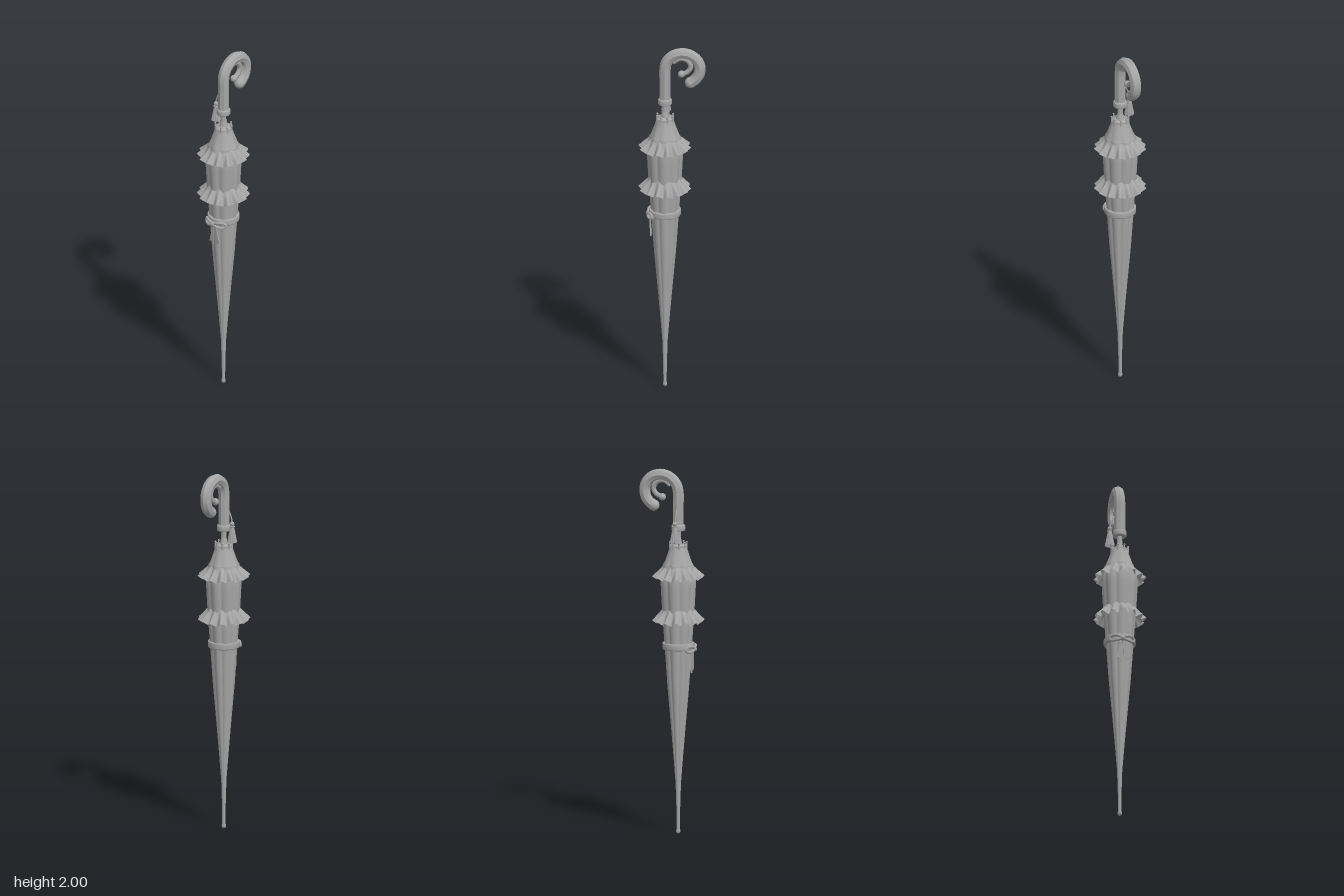
import * as THREE from 'three';

const AXIS_Z = 0.04; // the shaft stands slightly forward of the centre
const grey = new THREE.MeshStandardMaterial({ color: 0xa6a6a6, side: THREE.DoubleSide });
grey.name = 'grey';

export function createModel() {
  const group = new THREE.Group();
  group.name = 'closedParasol';
  const umbrella = new THREE.Group(); // everything centred on the shaft
  umbrella.name = 'shaftAssembly';
  umbrella.position.z = AXIS_Z;
  group.add(umbrella);

  const add = (name, geo, x = 0, y = 0, z = 0, parent = umbrella) => {
    const m = new THREE.Mesh(geo, grey);
    m.name = name;
    m.position.set(x, y, z);
    parent.add(m);
    return m;
  };
  const V = (x, y, z) => new THREE.Vector3(x, y, z);
  const flat = (geo) => {
    const g = geo.toNonIndexed();
    g.computeVertexNormals();
    return g;
  };
  const lathe = (pts, seg = 24) => new THREE.LatheGeometry(pts.map(p => new THREE.Vector2(p[0], p[1])), seg);

  // Closed cloth surface: fn(angle, t) gives [radius, y], t runs top to bottom
  const cloth = (seg, rows, fn) => {
    const pos = [], idx = [];
    for (let j = 0; j <= rows; j++) for (let i = 0; i < seg; i++) {
      const a = i / seg * Math.PI * 2, [r, y] = fn(a, j / rows);
      pos.push(Math.sin(a) * r, y, Math.cos(a) * r);
    }
    for (let j = 0; j < rows; j++) for (let i = 0; i < seg; i++) {
      const a = j * seg + i, b = j * seg + (i + 1) % seg, c = a + seg, d = b + seg;
      idx.push(a, c, b, b, c, d);
    }
    const g = new THREE.BufferGeometry();
    g.setAttribute('position', new THREE.Float32BufferAttribute(pos, 3));
    g.setIndex(idx);
    g.computeVertexNormals();
    return g;
  };
  // Linear lookup through [y, radius] stations
  const radiusAt = (stations, y) => {
    for (let i = 0; i < stations.length - 1; i++) {
      const [y0, r0] = stations[i], [y1, r1] = stations[i + 1];
      if (y <= y0 && y >= y1) return r0 + (r1 - r0) * (y0 - y) / (y0 - y1);
    }
    return stations[stations.length - 1][1];
  };

  // Furled cloth body with eight soft pleats
  const body = [[1.48, 0.085], [1.4, 0.1], [1.25, 0.092], [1.15, 0.085], [1.04, 0.077],
    [0.8, 0.06], [0.6, 0.042], [0.4, 0.025], [0.26, 0.014]];
  add('furledCanopy', cloth(96, 40, (a, t) => {
    const y = 1.48 - t * 1.22;
    return [radiusAt(body, y) * (0.94 + 0.1 * (Math.abs(Math.cos(a * 4)) - 0.4)), y];
  }));

  // Upper cape with a scalloped hem
  const cape = [[1.59, 0.042], [1.55, 0.053], [1.5, 0.069], [1.46, 0.084], [1.39, 0.112]];
  add('upperCape', cloth(96, 14, (a, t) => {
    const w = Math.cos(a * 8);
    const y = 1.585 - t * (0.14 + 0.02 * w);
    return [radiusAt(cape, y) * (1 + 0.05 * w * t) + 0.004 * t, y];
  }));

  // Two fluted ruffles
  const ruffle = (name, top, bottom, r0, r1) => add(name, cloth(168, 8, (a, t) => {
    const w = Math.cos(a * 14 + 0.35), slow = Math.sin(a * 5 + 1);
    const r = r0 + (r1 - r0) * Math.pow(t, 1.15) + t * (0.012 * w + 0.002 * slow);
    return [r, top + (bottom - top) * t + t * (0.009 * w + 0.003 * slow)];
  }));
  ruffle('upperRuffle', 1.475, 1.408, 0.08, 0.132);
  ruffle('lowerRuffle', 1.24, 1.166, 0.084, 0.132);

  // Ferrule and tip
  add('ferrule', lathe([[0, 0], [0.009, 0.001], [0.012, 0.008], [0.012, 0.018], [0.009, 0.022],
    [0.01, 0.12], [0.015, 0.28]], 16));

  // Shaft and rib crown
  add('shaft', new THREE.CylinderGeometry(0.013, 0.017, 0.14, 16), 0, 1.62, 0);
  add('shaftCone', new THREE.CylinderGeometry(0.014, 0.026, 0.06, 16), 0, 1.6, 0);
  add('crownRing', lathe([[0.015, 1.57], [0.046, 1.57], [0.046, 1.588], [0.015, 1.592]]));
  for (let i = 0; i < 8; i++) {
    const a = (i + 0.5) * Math.PI / 4, x = Math.sin(a) * 0.046, z = Math.cos(a) * 0.046;
    add('ribPeg', new THREE.CylinderGeometry(0.005, 0.005, 0.034, 8), x, 1.583, z);
    add('ribPegTip', new THREE.SphereGeometry(0.006, 8, 6), x, 1.601, z);
  }

  // Handle: faceted crook, collar and end knob
  add('handleCollar', lathe([[0.014, 1.665], [0.034, 1.665], [0.038, 1.67], [0.038, 1.692],
    [0.034, 1.698], [0.028, 1.7]]));
  const path = [V(0, 1.67, 0), V(0, 1.74, 0), V(0, 1.81, 0)];
  for (let i = 0; i <= 12; i++) {
    const a = i / 12 * 4.2, r = 0.097 - 0.012 * Math.max(0, (a - 2.6) / 1.6);
    path.push(V(0, 1.872 + Math.sin(a) * r, -0.097 + Math.cos(a) * r));
  }
  const end = path[path.length - 1];
  add('crookHandle', flat(new THREE.TubeGeometry(new THREE.CatmullRomCurve3(path), 60, 0.031, 8)));
  add('handleKnob', new THREE.SphereGeometry(0.031, 16, 12), end.x, end.y, end.z);

  // Small tendril curling inside the crook
  const curl = [V(0, 1.915, -0.045), V(0, 1.938, -0.085), V(0, 1.925, -0.125), V(0, 1.89, -0.14),
    V(0, 1.86, -0.122), V(0, 1.846, -0.092)];
  add('innerTendril', new THREE.TubeGeometry(new THREE.CatmullRomCurve3(curl), 30, 0.014, 8));
  add('tendrilKnob', new THREE.SphereGeometry(0.02, 12, 10), 0, 1.846, -0.09);

  // Tassel on a cord beside the handle
  const cord = [V(-0.026, 1.785, 0), V(-0.036, 1.77, 0), V(-0.047, 1.745, 0), V(-0.053, 1.715, 0)];
  add('tasselCord', new THREE.TubeGeometry(new THREE.CatmullRomCurve3(cord), 12, 0.004, 6));
  add('tasselHead', new THREE.SphereGeometry(0.013, 12, 8), -0.054, 1.71, -0.003);
  add('tasselBand', new THREE.TorusGeometry(0.012, 0.004, 6, 14), -0.054, 1.695, -0.003).rotation.x = Math.PI / 2;
  add('tasselSkirt', cloth(44, 5, (a, t) => [0.01 + 0.014 * t + 0.004 * t * Math.cos(a * 11), 1.698 - 0.09 * t]),
    -0.054, 0, -0.003);

  // Strap round the body
  add('strap', lathe([[0.07, 1.015], [0.084, 1.015], [0.087, 1.02], [0.087, 1.045], [0.084, 1.05], [0.07, 1.05]], 32));

  // Bow: two loops, a knot and two notched tails
  const bow = new THREE.Group();
  bow.name = 'bow';
  bow.position.set(0, 1.02, 0.082);
  umbrella.add(bow);
  add('bowKnot', new THREE.SphereGeometry(0.015, 12, 8), 0, 0, 0.008, bow);
  for (const s of [-1, 1]) {
    const loop = new THREE.CatmullRomCurve3([V(0, 0, 0.008), V(s * 0.03, 0.014, 0.008), V(s * 0.06, 0.013, -0.012),
      V(s * 0.066, -0.004, -0.018), V(s * 0.05, -0.013, -0.004), V(s * 0.025, -0.01, 0.008)], true);
    add('bowLoop', new THREE.TubeGeometry(loop, 32, 0.008, 8, true), 0, 0, 0, bow);
    const tail = new THREE.Shape();
    [[0, 0], [s * 0.012, 0], [s * 0.022, -0.06], [s * 0.036, -0.118], [s * 0.02, -0.108],
      [s * 0.008, -0.132], [s * 0.004, -0.06]].forEach(([x, y], i) => i ? tail.lineTo(x, y) : tail.moveTo(x, y));
    const ribbon = add('bowTail', new THREE.ExtrudeGeometry(tail, { depth: 0.005, bevelEnabled: false }), 0, -0.005, 0, bow);
    ribbon.rotation.x = 0.08;
  }
  return group;
}
